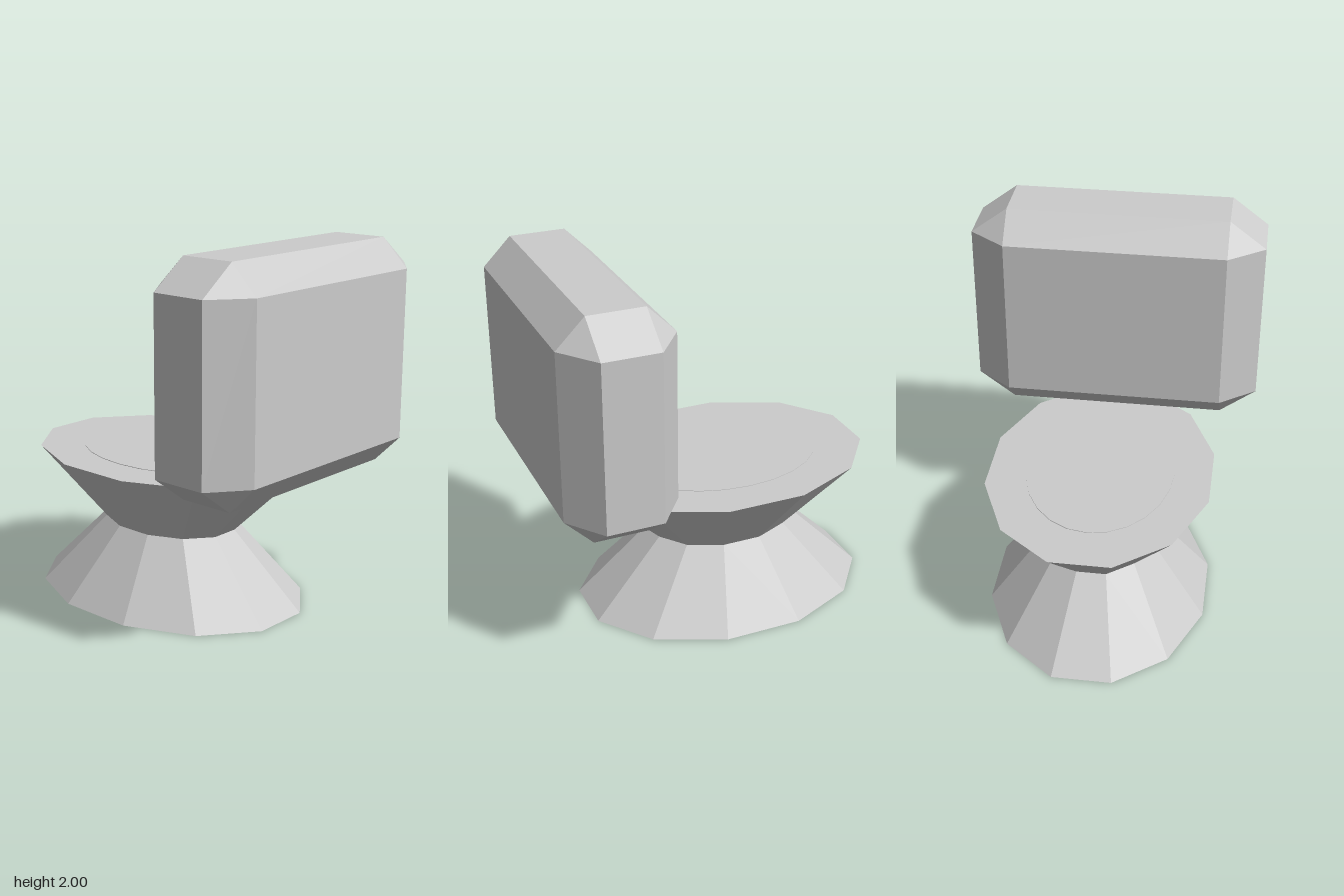
import * as THREE from 'three';
import { ConvexGeometry } from 'three/addons/geometries/ConvexGeometry.js';

const material = new THREE.MeshStandardMaterial({ color: 0xcccccc, flatShading: true });

function addPart(group, name, geometry, x, y, z) {
  const mesh = new THREE.Mesh(geometry, material);
  mesh.name = name;
  mesh.position.set(x, y, z);
  group.add(mesh);
}

// Box with bevelled edges and triangular corners; h = half sizes, b = bevels
function bevelledBox(h, b) {
  const points = [];
  for (const sx of [-1, 1]) for (const sy of [-1, 1]) for (const sz of [-1, 1]) {
    for (let axis = 0; axis < 3; axis++) {
      const p = h.map((v, i) => (i === axis ? v : v - b[i]));
      points.push(new THREE.Vector3(p[0] * sx, p[1] * sy, p[2] * sz));
    }
  }
  return new ConvexGeometry(points);
}

export function createModel() {
  const group = new THREE.Group();
  const centreX = -0.15;

  // Twelve-sided oval foot and bowl meeting at a narrow waist
  const k = 1 / Math.cos(Math.PI / 12);
  const profile = [[0, 0], [1, 0], [0.5, 0.4], [1, 0.8], [0, 0.8]]
    .map(([r, y]) => new THREE.Vector2(r * k, y));
  const bowl = new THREE.LatheGeometry(profile, 12, Math.PI / 12);
  bowl.scale(0.8, 1, 0.6);
  addPart(group, 'pedestalBowl', bowl, centreX, 0, 0);

  // Very thin oval lid almost flush with the rim
  const lid = new THREE.CylinderGeometry(1, 1, 0.004, 24);
  lid.scale(0.55, 1, 0.4);
  addPart(group, 'lid', lid, centreX, 0.801, 0);

  // Bevelled tank behind the bowl
  addPart(group, 'tank', bevelledBox([0.3, 0.6, 0.8], [0.15, 0.15, 0.2]), 0.65, 1.4, 0);

  return group;
}
